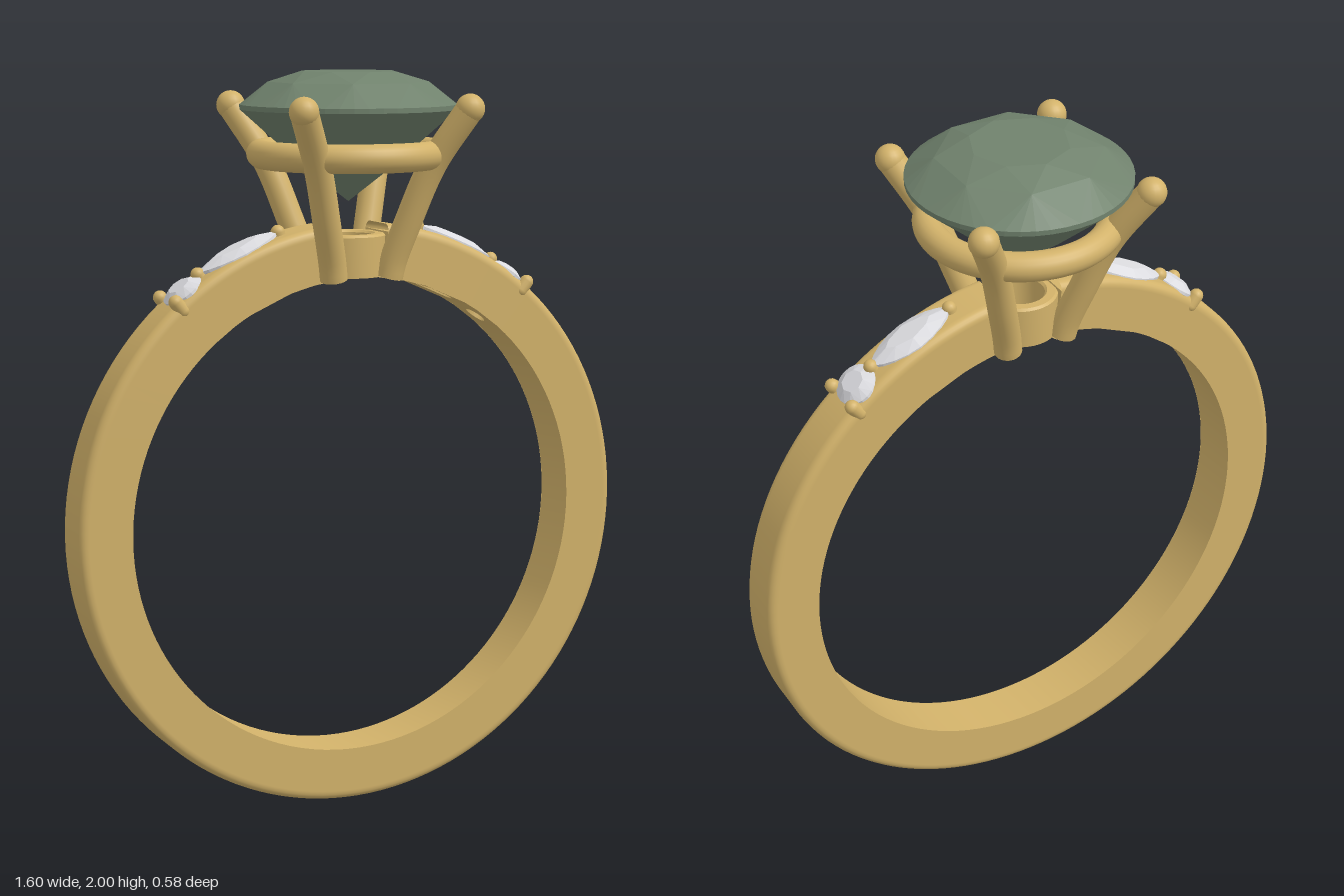
import * as THREE from 'three';
import { toCreasedNormals } from 'three/addons/utils/BufferGeometryUtils.js';
import { ConvexGeometry } from 'three/addons/geometries/ConvexGeometry.js';

const CY = 0.8, R_IN = 0.655, R_OUT = 0.8, HALF_W = 0.07, GAP = 0.11;

function material(name, color) {
  const m = new THREE.MeshStandardMaterial({ color, side: THREE.DoubleSide });
  m.name = name;
  return m;
}

// points of a circle of n corners at height y
function ringPoints(r, y, n, offset = 0) {
  return Array.from({ length: n }, (_, i) => {
    const a = ((i + offset) / n) * Math.PI * 2;
    return new THREE.Vector3(r * Math.sin(a), y, r * Math.cos(a));
  });
}

// outer skin and flat sides of the band, with rounded outer edges and a gap at the top
function bandShell() {
  const b = 0.022, half = [];
  half.push([R_IN, HALF_W], [R_OUT - b - 0.004, HALF_W]);
  for (let i = 0; i <= 5; i++) {
    const a = (i / 5) * Math.PI / 2;
    half.push([R_OUT - b + b * Math.sin(a), HALF_W - b + b * Math.cos(a)]);
  }
  half.push([R_OUT, HALF_W - b - 0.004]);
  const profile = [
    ...half.map(([r, z]) => new THREE.Vector2(r, -z)),
    ...half.reverse().map(([r, z]) => new THREE.Vector2(r, z)),
  ];
  const g = GAP;
  return new THREE.LatheGeometry(profile, 128, -(Math.PI - g), 2 * (Math.PI - g))
    .rotateX(Math.PI / 2).translate(0, CY, 0);
}

// inner wall of the band: flat cells, some pierced under the stones, bent to a circle
function bandCore() {
  const holes = [{ a: 0.41, l: 0.058, w: 0.034 }, { a: 0.64, l: 0.03, w: 0.03 }];
  const near = [GAP, 0.21, 0.31, 0.51, 0.58, 0.7];
  const full = Math.PI * 2, bounds = [...near];
  for (let i = 1; i < 90; i++) bounds.push(0.7 + (i / 90) * (full - 1.4));
  bounds.push(...near.map((a) => full - a).reverse());
  const allHoles = [...holes, ...holes.map((h) => ({ ...h, a: full - h.a }))];
  const w = HALF_W - 0.001, shapes = [];
  for (let i = 0; i < bounds.length - 1; i++) {
    const u0 = bounds[i] * R_IN, u1 = bounds[i + 1] * R_IN;
    const s = new THREE.Shape([[u0, -w], [u1, -w], [u1, w], [u0, w]].map((p) => new THREE.Vector2(...p)));
    for (const h of allHoles) {
      if (h.a > bounds[i] && h.a < bounds[i + 1]) {
        s.holes.push(new THREE.Path().absellipse(h.a * R_IN, 0, h.l, h.w, 0, full, true));
      }
    }
    shapes.push(s);
  }
  const geo = new THREE.ExtrudeGeometry(shapes, { depth: 0.125, bevelEnabled: false, curveSegments: 14 });
  const p = geo.attributes.position;
  for (let i = 0; i < p.count; i++) {
    const a = p.getX(i) / R_IN, r = R_IN + p.getZ(i);
    p.setXYZ(i, r * Math.sin(a), CY + r * Math.cos(a), -p.getY(i));
  }
  return toCreasedNormals(geo, 0.5);
}

// centre stone: flat table, domed crown, thin girdle, pointed pavilion
function centreStone() {
  return new ConvexGeometry([
    ...ringPoints(0.13, 2.0, 8),
    ...ringPoints(0.215, 1.972, 8, 0.5),
    ...ringPoints(0.29, 1.913, 48),
    ...ringPoints(0.29, 1.9, 48),
    ...ringPoints(0.12, 1.748, 8, 0.5),
    new THREE.Vector3(0, 1.655, 0),
  ]);
}

// small shoulder stone; pointed ends for a marquise, oval otherwise
function accentStone(l, w, pointed) {
  const pts = [];
  const n = 20;
  for (const [scale, y] of [[0.55, 0.02], [1, 0.004], [1, -0.004], [0.3, -0.04]]) {
    const count = scale === 1 ? n : 8;
    for (let i = 0; i < count; i++) {
      const a = (i / count) * Math.PI * 2, c = Math.cos(a), s = Math.sin(a);
      const z = pointed ? Math.sign(s) * (1 - c * c) ** 0.8 : s;
      pts.push(new THREE.Vector3(l * scale * c, y, w * scale * z));
    }
  }
  return new ConvexGeometry(pts);
}

export function createModel() {
  const model = new THREE.Group();
  model.name = 'ring';
  const gold = material('gold', 0xd2b26a);
  const green = material('green stone', 0x70826d);
  const clear = material('clear stone', 0xdcdce0);

  const add = (name, geo, mat, parent = model) => {
    const m = new THREE.Mesh(geo, mat);
    m.name = name;
    parent.add(m);
    return m;
  };

  add('bandShell', bandShell(), gold);
  add('bandCore', bandCore(), gold);

  // collar under the setting: an open tube
  const collar = [[0.066, 1.457], [0.1, 1.457], [0.1, 1.565], [0.094, 1.571], [0.072, 1.571], [0.066, 1.565], [0.066, 1.457]];
  add('collar', toCreasedNormals(
    new THREE.LatheGeometry(collar.map((p) => new THREE.Vector2(...p)), 48), 0.6), gold);

  // basket ring
  add('basketRing', new THREE.TorusGeometry(0.235, 0.038, 20, 72).rotateX(Math.PI / 2).translate(0, 1.782, 0), gold);

  // four curved claws on the diagonals
  const path = new THREE.CatmullRomCurve3(
    [[0.082, 1.456], [0.09, 1.5], [0.118, 1.6], [0.168, 1.76], [0.24, 1.908]]
      .map(([d, y]) => new THREE.Vector3(d, y, d)));
  for (let i = 0; i < 4; i++) {
    const claw = new THREE.Group();
    claw.name = 'claw';
    claw.rotation.y = (i * Math.PI) / 2;
    add('clawShaft', new THREE.TubeGeometry(path, 28, 0.037, 18), gold, claw);
    add('clawFoot', new THREE.CircleGeometry(0.037, 18).rotateX(Math.PI / 2).translate(0.082, 1.457, 0.082), gold, claw);
    const tip = add('clawTip', new THREE.SphereGeometry(0.039, 20, 14), gold, claw);
    tip.position.set(0.239, 1.906, 0.239);
    model.add(claw);
  }

  add('centreStone', centreStone(), green);

  // shoulder stones and their beads, mirrored on both sides
  for (const side of [1, -1]) {
    const place = (mesh, angle, r, z = 0) => {
      mesh.position.set(side * r * Math.sin(angle), CY + r * Math.cos(angle), z);
      mesh.rotation.z = -side * angle;
    };
    place(add('marquiseStone', accentStone(0.125, 0.058, true), clear), 0.415, 0.798);
    place(add('ovalStone', accentStone(0.057, 0.064, false), clear), 0.645, 0.798);
    for (const [angle, z] of [[0.26, 0], [0.572, 0], [0.702, 0.056], [0.702, -0.056]]) {
      const bead = add('bead', new THREE.CapsuleGeometry(0.019, 0.03, 6, 14), gold);
      place(bead, angle, 0.793, z);
    }
  }
  return model;
}
